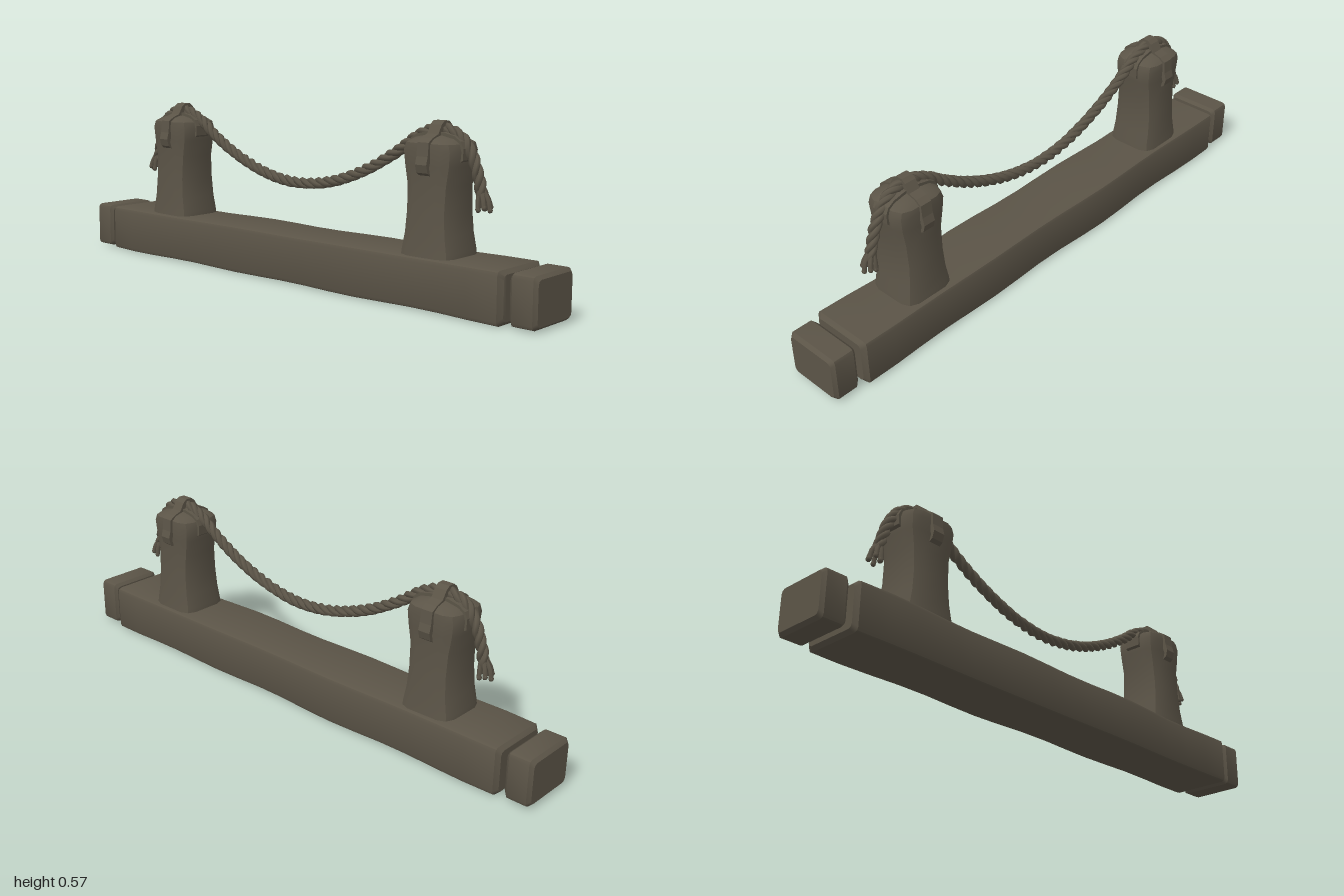
import * as THREE from 'three';
import { toCreasedNormals } from 'three/addons/utils/BufferGeometryUtils.js';

// Closed loft along y: rows of [y, halfX, halfZ, offsetZ], section is a bevelled rectangle
function loft(rows, bevel) {
  const pos = [], idx = [], n = 12;
  const corners = [[1, 1], [-1, 1], [-1, -1], [1, -1]];
  for (const [y, hx, hz, oz = 0] of rows) {
    const b = Math.min(bevel, hx * 0.6, hz * 0.6);
    corners.forEach(([sx, sz], k) => {
      for (let i = 0; i < 3; i++) {
        const a = (k + i / 2) * Math.PI / 2;
        pos.push(sx * (hx - b) + b * Math.cos(a), y, sz * (hz - b) + b * Math.sin(a) + oz);
      }
    });
  }
  for (let r = 0; r < rows.length - 1; r++) {
    for (let j = 0; j < n; j++) {
      const a = r * n + j, b = r * n + (j + 1) % n;
      idx.push(a, a + n, b, b, a + n, b + n);
    }
  }
  const last = (rows.length - 1) * n;
  for (let j = 1; j < n - 1; j++) {
    idx.push(0, j, j + 1, last, last + j + 1, last + j);
  }
  const g = new THREE.BufferGeometry();
  g.setAttribute('position', new THREE.Float32BufferAttribute(pos, 3));
  g.setIndex(idx);
  return toCreasedNormals(g, 0.6);
}

// One strand winding around a path that lies in the xy plane
class Strand extends THREE.Curve {
  constructor(path, turns, phase, offset) {
    super();
    Object.assign(this, { path, turns, phase, offset });
  }
  getPoint(t, target = new THREE.Vector3()) {
    const p = this.path.getPointAt(t), d = this.path.getTangentAt(t);
    const a = this.phase + t * this.turns * Math.PI * 2;
    const c = Math.cos(a) * this.offset, s = Math.sin(a) * this.offset;
    return target.set(p.x - d.y * c, p.y + d.x * c, p.z + s);
  }
}

// Band with the given half outline [across, y], mirrored and extruded to its width
function strapGeometry(outer, width, thick) {
  const inner = outer.map(([u, y]) => [Math.max(u - thick, 0), y - thick * 0.7]);
  const flip = (list) => list.map(([u, y]) => [-u, y]);
  const ring = [...outer, ...flip(outer).reverse(), ...flip(inner), ...inner.reverse()];
  const shape = new THREE.Shape(ring.map(([u, y]) => new THREE.Vector2(u, y)));
  const g = new THREE.ExtrudeGeometry(shape, { depth: width, bevelEnabled: false });
  return g.translate(0, 0, -width / 2);
}

export function createModel() {
  const group = new THREE.Group();
  const wood = new THREE.MeshStandardMaterial({ color: 0x5b5447 });
  wood.name = 'weathered brown';
  const add = (parent, name, geometry) => {
    const mesh = new THREE.Mesh(geometry, wood);
    mesh.name = name;
    parent.add(mesh);
    return mesh;
  };

  // Long hewn beam, slightly uneven along its length
  const rows = [[-0.89, 0.07, 0.097]];
  for (let i = 0; i <= 16; i++) {
    const x = -0.877 + i * 1.754 / 16;
    const wave = Math.sin(i * 1.3) * 0.003;
    rows.push([x, 0.081 + wave * 0.4, 0.11 + wave, Math.sin(i * 0.8) * 0.002]);
  }
  rows.push([0.89, 0.07, 0.097]);
  add(group, 'beam', loft(rows, 0.014).rotateZ(-Math.PI / 2).translate(0, 0.083, 0));

  // Each end: block, neck, post and straps, turned about y for the other side
  for (const side of [1, -1]) {
    const half = new THREE.Group();
    half.name = side > 0 ? 'leftEnd' : 'rightEnd';
    half.rotation.y = side > 0 ? 0 : Math.PI;
    group.add(half);

    const block = [[0.908, 0.069, 0.092], [0.919, 0.079, 0.101], [0.988, 0.079, 0.101], [1, 0.069, 0.092]];
    add(half, 'endBlock', loft(block, 0.014).rotateZ(-Math.PI / 2).translate(0, 0.085, 0));
    const neck = [[0.87, 0.034, 0.045], [0.898, 0.028, 0.038], [0.925, 0.034, 0.045]];
    add(half, 'neck', loft(neck, 0.015).rotateZ(-Math.PI / 2).translate(0, 0.085, 0));

    // Waisted post with a domed top
    const post = [
      [0.15, 0.097, 0.094], [0.18, 0.095, 0.091], [0.23, 0.086, 0.088], [0.3, 0.081, 0.085],
      [0.38, 0.083, 0.081], [0.44, 0.093, 0.082], [0.485, 0.097, 0.084],
      [0.508, 0.09, 0.082], [0.522, 0.07, 0.064], [0.53, 0.035, 0.035],
    ];
    add(half, 'post', loft(post, 0.04)).position.x = 0.59;

    // Crossed straps tying the rope down
    const across = [[0.094, 0.42], [0.101, 0.445], [0.094, 0.47], [0.09, 0.512],
      [0.07, 0.525], [0.042, 0.535], [0.026, 0.562], [0.012, 0.573]];
    const strap = add(half, 'strapOverRope', strapGeometry(across, 0.042, 0.014));
    strap.rotation.y = Math.PI / 2;
    strap.position.x = 0.59;
    const along = [[0.103, 0.46], [0.104, 0.495], [0.094, 0.516], [0.07, 0.531], [0.03, 0.54]];
    add(half, 'strapUnderRope', strapGeometry(along, 0.06, 0.012)).position.x = 0.59;

    // Frayed rope end
    for (let i = 0; i < 6; i++) {
      const a = i * Math.PI / 3;
      const fray = new THREE.CatmullRomCurve3([
        new THREE.Vector3(0.742 + Math.cos(a) * 0.008, 0.37, Math.sin(a) * 0.008),
        new THREE.Vector3(0.749 + Math.cos(a) * 0.017, 0.345, Math.sin(a) * 0.017),
        new THREE.Vector3(0.752 + Math.cos(a) * 0.02, 0.316 + (i % 2) * 0.008, Math.sin(a) * 0.021),
      ]);
      add(half, 'frayedEnd', new THREE.TubeGeometry(fray, 4, 0.008, 5));
      const tip = add(half, 'frayedTip', new THREE.SphereGeometry(0.009, 5, 4));
      tip.position.copy(fray.getPoint(1));
    }
  }

  // Three-strand rope hanging between the posts and over their outer sides
  const halfPath = [[0.745, 0.35], [0.73, 0.41], [0.705, 0.475], [0.66, 0.53], [0.59, 0.55],
    [0.51, 0.525], [0.42, 0.465], [0.3, 0.4], [0.15, 0.347]];
  const path = new THREE.CatmullRomCurve3([
    ...halfPath.map(([x, y]) => new THREE.Vector3(-x, y, 0)),
    new THREE.Vector3(0, 0.328, 0),
    ...halfPath.slice().reverse().map(([x, y]) => new THREE.Vector3(x, y, 0)),
  ]);
  for (let i = 0; i < 3; i++) {
    const strand = new Strand(path, 17, i * Math.PI * 2 / 3, 0.0095);
    add(group, 'ropeStrand', new THREE.TubeGeometry(strand, 320, 0.0105, 6));
  }
  return group;
}
